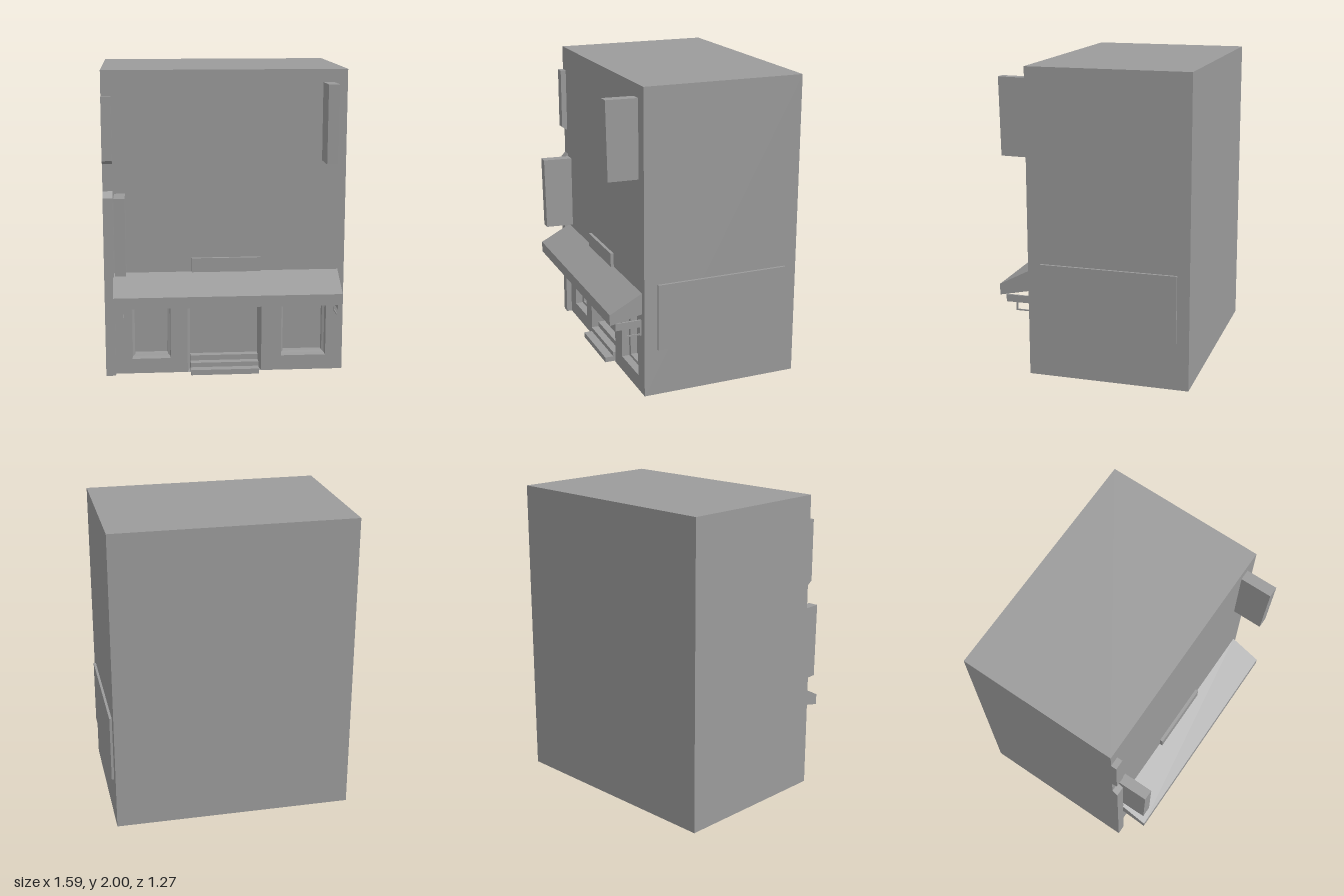
import * as THREE from 'three';
import { mergeGeometries } from 'three/addons/utils/BufferGeometryUtils.js';

const material = new THREE.MeshStandardMaterial({ color: 0x9b9b9b, flatShading: true, side: THREE.DoubleSide });

const L = -0.793, R = 0.777, H = 2, BACK = -0.635, FRONT = 0.421;

function add(group, name, geometry) {
  const mesh = new THREE.Mesh(geometry, material);
  mesh.name = name;
  group.add(mesh);
}

// Box given by its limits on each axis
function box(x0, x1, y0, y1, z0, z1) {
  return new THREE.BoxGeometry(x1 - x0, y1 - y0, z1 - z0)
    .translate((x0 + x1) / 2, (y0 + y1) / 2, (z0 + z1) / 2);
}

const sideShape = (points) => new THREE.Shape(points.map(([z, y]) => new THREE.Vector2(-z, y)));

// Side profile of [z, y] points stretched from x0 to x1
function profile(points, x0, x1) {
  return new THREE.ExtrudeGeometry(sideShape(points), { depth: x1 - x0, bevelEnabled: false })
    .rotateY(Math.PI / 2).translate(x0, 0, 0);
}

// Hollow profile listed from top to bottom: skin and ends, open at back and underside
function openProfile(points, x0, x1) {
  const skin = new THREE.PlaneGeometry(1, 1, 1, points.length - 1);
  const pos = skin.attributes.position;
  points.forEach(([z, y], i) => {
    pos.setXYZ(2 * i, x0, y, z);
    pos.setXYZ(2 * i + 1, x1, y, z);
  });
  skin.computeVertexNormals();
  const shape = sideShape([...points, [points[0][0], points.at(-1)[1]]]);
  const ends = [x0, x1].map((x) => new THREE.ShapeGeometry(shape).rotateY(Math.PI / 2).translate(x, 0, 0));
  return mergeGeometries([skin, ...ends]);
}

// Niche behind the front wall: each stage is [inset of the sides, depth]; the last one is closed
function niche({ x0, x1, y0, y1, sill, stages }) {
  const rings = [[0, 0], ...stages].map(([inset, depth]) => {
    const z = FRONT - depth, bottom = y0 + inset * sill;
    return [[x0 + inset, bottom, z], [x1 - inset, bottom, z], [x1 - inset, y1, z], [x0 + inset, y1, z]];
  });
  const out = [];
  const quad = (a, b, c, d) => out.push(...a, ...b, ...c, ...a, ...c, ...d);
  for (let k = 0; k < stages.length; k++) {
    for (let i = 0; i < 4; i++) {
      const j = (i + 1) % 4;
      quad(rings[k][i], rings[k][j], rings[k + 1][j], rings[k + 1][i]);
    }
  }
  quad(...rings.at(-1));
  const geometry = new THREE.BufferGeometry();
  geometry.setAttribute('position', new THREE.Float32BufferAttribute(out, 3));
  geometry.computeVertexNormals();
  return geometry;
}

export function createModel() {
  const model = new THREE.Group();
  model.name = 'shopBuilding';

  // Side, top and back walls; the underside is open
  const shell = box(L, R, 0, H, BACK, FRONT);
  const index = Array.from(shell.index.array);
  shell.setIndex([...index.slice(0, 18), ...index.slice(30, 36)]);
  shell.clearGroups();
  add(model, 'walls', shell);

  // Front wall with door and window openings, cut away behind the lower pilaster
  const pilasterX = -0.729;
  const door = { x0: -0.255, x1: 0.235, y0: 0, y1: 0.66, sill: 0, stages: [[0.02, 0.09]] };
  const windows = [[-0.62, -0.367], [0.367, 0.665]].map(([x0, x1]) =>
    ({ x0, x1, y0: 0.1, y1: 0.66, sill: 0.85, stages: [[0.003, 0.05], [0.018, 0.055], [0.018, 0.1]] }));
  const facade = new THREE.Shape([
    [pilasterX, 0], [door.x0, 0], [door.x0, door.y1], [door.x1, door.y1], [door.x1, 0],
    [R, 0], [R, H], [L, H], [L, 1.23], [pilasterX, 1.23],
  ].map(([x, y]) => new THREE.Vector2(x, y)));
  for (const { x0, x1, y0, y1 } of windows) {
    facade.holes.push(new THREE.Path([
      [x0, y0], [x0, y1], [x1, y1], [x1, y0],
    ].map(([x, y]) => new THREE.Vector2(x, y))));
  }
  add(model, 'frontWall', new THREE.ShapeGeometry(facade).translate(0, 0, FRONT));
  add(model, 'doorway', niche(door));
  windows.forEach((w) => add(model, 'shopWindow', niche(w)));

  // Steps up to the door
  add(model, 'doorSteps', openProfile([
    [0.331, 0.1], [0.38, 0.1], [0.38, 0.065], [0.43, 0.065], [0.43, 0.035], [0.487, 0.035], [0.487, 0],
  ], -0.235, 0.215));

  // Awning
  add(model, 'awning', profile([
    [FRONT, 0.69], [0.635, 0.578], [0.635, 0.505], [FRONT, 0.55],
  ], -0.735, 0.735));

  // Thin brackets below the awning
  for (const x of [-0.677, 0.72]) {
    const bracket = new THREE.Group();
    bracket.name = 'awningBracket';
    const a = x - 0.003, b = x + 0.003;
    add(bracket, 'bracketPlate', box(x - 0.006, x + 0.006, 0.46, 0.508, FRONT, 0.595));
    add(bracket, 'bracketRod', box(a, b, 0.405, 0.414, FRONT, 0.53));
    add(bracket, 'bracketPost', box(a, b, 0.405, 0.46, 0.518, 0.53));
    add(bracket, 'bracketMount', box(a, b, 0.4, 0.46, FRONT, 0.43));
    model.add(bracket);
  }

  // Corner pilaster in two lengths with sloping ends
  add(model, 'lowerPilaster', openProfile([[FRONT, 1.23], [0.458, 1.19], [0.458, 0]], L, pilasterX));
  add(model, 'upperPilaster', profile([[FRONT, 1.405], [0.458, 1.43], [0.458, 1.838], [FRONT, 1.838]], L, pilasterX));

  // Hanging signs, slightly wider at the top
  add(model, 'lowerHangingSign', profile([
    [FRONT, 0.712], [0.617, 0.718], [0.624, 1.218], [FRONT, 1.213],
  ], -0.72, -0.65));
  add(model, 'upperHangingSign', profile([
    [FRONT, 1.415], [0.619, 1.418], [0.629, 1.92], [FRONT, 1.917],
  ], 0.62, 0.69));

  // Flat sign boards
  add(model, 'frontSignBoard', box(-0.225, 0.225, 0.69, 0.783, FRONT, 0.442));
  add(model, 'sideSignBoard', box(R, 0.793, 0.31, 0.75, -0.555, 0.333));

  return model;
}
